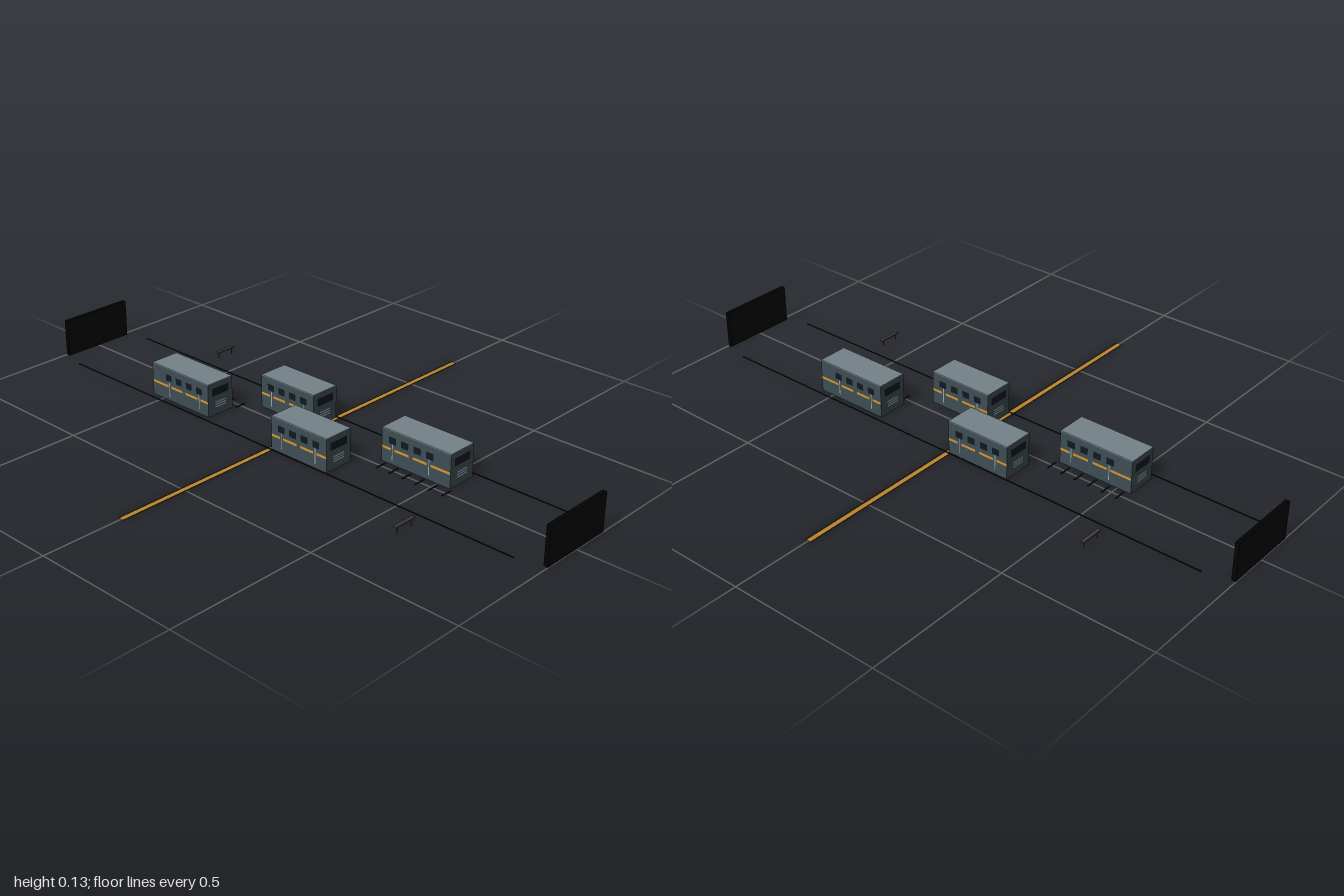
import * as THREE from 'three';

const paint = (name, color, side = THREE.FrontSide) => {
  const m = new THREE.MeshStandardMaterial({ color, side });
  m.name = name;
  return m;
};

export function createModel() {
  const root = new THREE.Group();
  root.name = 'railwayStation';
  const black = paint('tunnel black', 0x020202);
  const body = paint('car slate', 0x3e4d53);
  const roofGrey = paint('roof grey', 0x74838a);
  const glass = paint('window dark', 0x11181e);
  const gold = paint('stripe gold', 0xd9942b);
  const ochre = paint('band ochre', 0xb8862f, THREE.DoubleSide);
  const pale = paint('pale trim', 0x98a6ad);
  const steel = paint('dark steel', 0x0e1012);
  const edge = paint('band edge brown', 0x2a1c0c, THREE.DoubleSide);
  const bench = paint('bench grey', 0x453c37);

  const place = (parent, name, geo, mat, x, y, z) => {
    const m = new THREE.Mesh(geo, mat);
    m.name = name;
    m.position.set(x, y, z);
    parent.add(m);
    return m;
  };

  // Box given by its size and centre
  const box = (parent, name, mat, w, h, d, x, y, z) =>
    place(parent, name, new THREE.BoxGeometry(w, h, d), mat, x, y, z);

  // Painted face turned about y by angle
  const decal = (parent, name, mat, w, h, x, y, z, angle) => {
    place(parent, name, new THREE.PlaneGeometry(w, h), mat, x, y, z).rotation.y = angle;
  };

  // Prism along z from an outline in x and y
  const prism = (parent, name, mat, points, length) => {
    const shape = new THREE.Shape(points.map(([x, y]) => new THREE.Vector2(x, y)));
    const geo = new THREE.ExtrudeGeometry(shape, { depth: length, bevelEnabled: false });
    place(parent, name, geo, mat, 0, 0, -length / 2);
  };

  // Railway car; shift moves windows and doors away from the cab
  const makeCar = (length, shift) => {
    const car = new THREE.Group();
    car.name = 'railCar';
    const w = 0.052, gap = 0.0008;
    prism(car, 'carBody', body, [[-w, 0.001], [w, 0.001], [w, 0.11], [-w, 0.11]], length);
    prism(car, 'carRoof', roofGrey,
      [[-w, 0.11], [w, 0.11], [w - 0.001, 0.112], [-w + 0.001, 0.112]], length);
    for (const s of [-1, 1]) {
      const x = s * (w + gap);
      const turn = s * Math.PI / 2;
      // Side windows
      for (let i = 0; i < 4; i++) {
        decal(car, 'sideWindow', glass, 0.027, 0.022, x, 0.079, shift + (i - 1.5) * 0.047, turn);
      }
      // Door posts
      const doors = [shift + 0.068, shift - 0.07];
      doors.forEach((z) => decal(car, 'doorPost', pale, 0.003, 0.052, x, 0.041, z, turn));
      // Gold stripe broken at the doors and the middle
      const ends = [length / 2 - 0.001, doors[0] + 0.006, doors[0] - 0.008, shift + 0.008,
        shift - 0.008, doors[1] + 0.008, doors[1] - 0.006, -length / 2 + 0.001];
      for (let i = 0; i < 8; i += 2) {
        decal(car, 'sideStripe', gold, ends[i] - ends[i + 1], 0.008,
          x, 0.05, (ends[i] + ends[i + 1]) / 2, turn);
      }
      // Car ends: windscreen and grille
      const z = s * (length / 2 + gap);
      const face = s > 0 ? 0 : Math.PI;
      decal(car, 'windscreen', glass, 0.07, 0.026, 0, 0.08, z, face);
      for (let i = 0; i < 3; i++) {
        decal(car, 'endGrille', pale, 0.046, 0.004, 0, 0.028 + i * 0.008, z, face);
      }
    }
    return car;
  };

  // Each half holds the same pieces, turned half way round
  for (const turn of [0, Math.PI]) {
    const half = new THREE.Group();
    half.name = turn ? 'backHalf' : 'frontHalf';
    half.rotation.y = turn;
    root.add(half);

    box(half, 'tunnelPanel', black, 0.256, 0.126, 0.014, 0, 0.063, 0.993);
    box(half, 'rail', steel, 0.003, 0.003, 1.815, 0.15, 0.0015, 0);

    const outerCar = makeCar(0.259, -0.018);
    outerCar.position.set(0.079, 0, 0.419);
    half.add(outerCar);
    const innerCar = makeCar(0.225, 0);
    innerCar.position.set(-0.094, 0, 0.115);
    half.add(innerCar);

    // Platform bench
    box(half, 'benchSeat', bench, 0.08, 0.004, 0.011, -0.236, 0.023, 0.6);
    for (const x of [-0.266, -0.207]) {
      box(half, 'benchLeg', bench, 0.002, 0.021, 0.003, x, 0.0105, 0.6);
    }
  }

  // Marker ties between the tracks: back, middle and front rows
  for (const [start, count] of [[-0.528, 6], [-0.034, 3], [0.311, 6]]) {
    for (let i = 0; i < count; i++) {
      box(root, 'tie', steel, 0.042, 0.002, 0.005, 0, 0.001, start + i * 0.0492);
    }
  }

  // Crossing band on the ground: ochre middle between dark edges
  const strip = (name, mat, depth, z) => {
    place(root, name, new THREE.PlaneGeometry(1.465, depth), mat, 0, 0.0005, z)
      .rotation.x = -Math.PI / 2;
  };
  strip('bandStripe', ochre, 0.013, -0.0005);
  strip('bandEdge', edge, 0.005, -0.0095);
  strip('bandEdge', edge, 0.006, 0.009);
  return root;
}
